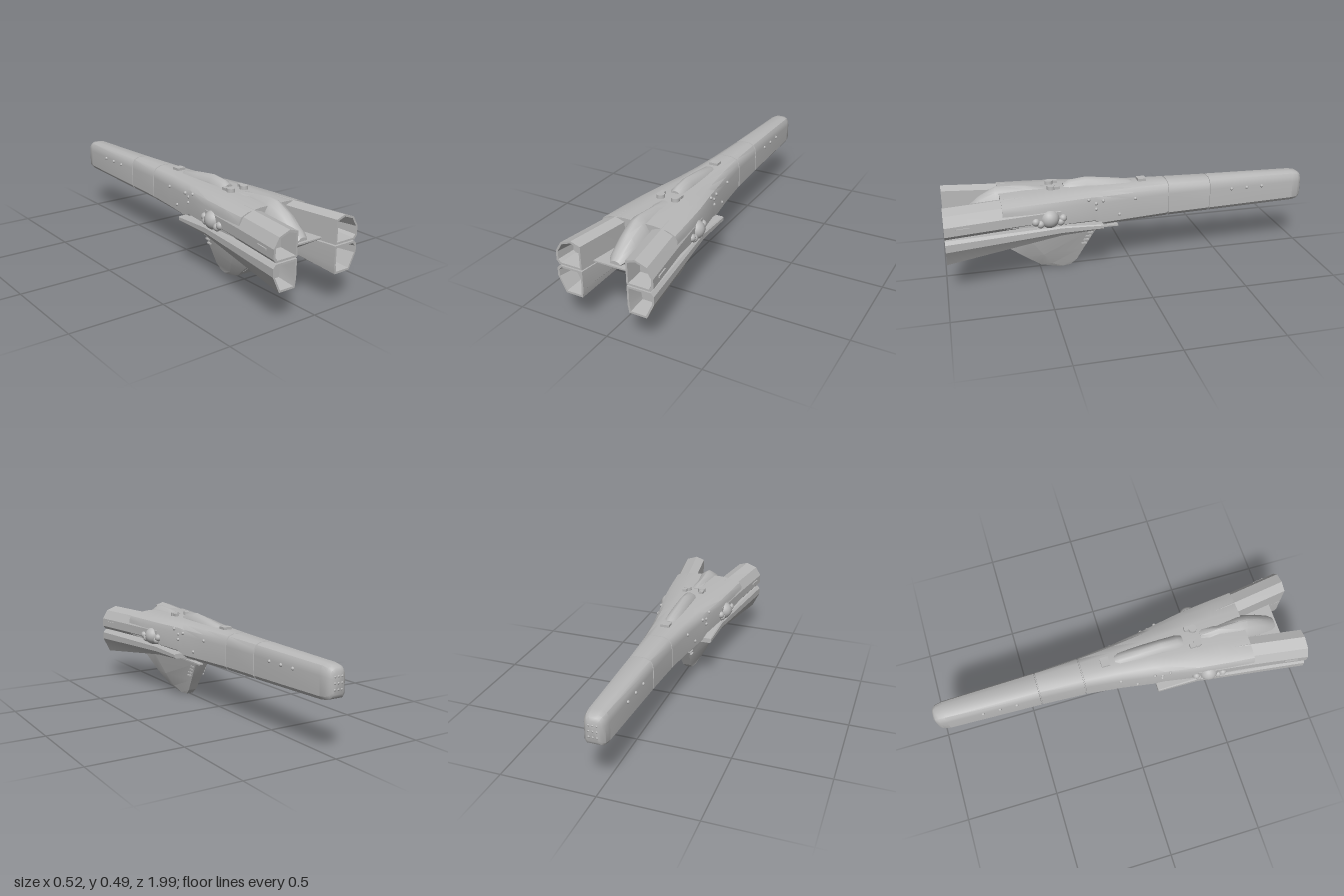
import * as THREE from 'three';
import { toCreasedNormals } from 'three/addons/utils/BufferGeometryUtils.js';

// Skin a list of closed rings of [x, y, z] points; both ends are capped.
function loft(rings, crease = 0.5) {
  const pos = [], idx = [], n = rings[0].length;
  rings.forEach(r => r.forEach(p => pos.push(...p)));
  for (let k = 0; k < rings.length - 1; k++) {
    for (let i = 0; i < n; i++) {
      const a = k * n + i, b = k * n + (i + 1) % n;
      idx.push(a, b, b + n, a, b + n, a + n);
    }
  }
  [0, rings.length - 1].forEach((k, end) => {
    const c = pos.length / 3;
    pos.push(...[0, 1, 2].map(j => rings[k].reduce((s, p) => s + p[j], 0) / n));
    for (let i = 0; i < n; i++) {
      const a = k * n + i, b = k * n + (i + 1) % n;
      if (end) idx.push(c, a, b); else idx.push(c, b, a);
    }
  });
  const g = new THREE.BufferGeometry();
  g.setAttribute('position', new THREE.Float32BufferAttribute(pos, 3));
  g.setIndex(idx);
  return toCreasedNormals(g, crease);
}

// Complete a right-hand half outline (bottom to top) into a mirrored ring.
const mirrorRing = (half, z) => [
  ...half.map(([x, y]) => [x, y, z]),
  ...half.slice().reverse().map(([x, y]) => [-x, y, z]),
];
const flip = ring => ring.map(([x, y, z]) => [-x, y, z]).reverse();

export function createModel() {
  const ship = new THREE.Group();
  ship.name = 'spaceship';
  const grey = new THREE.MeshStandardMaterial({ color: 0xb8b8b8 });
  grey.name = 'hull grey';

  const add = (name, geo, x = 0, y = 0, z = 0) => {
    const m = new THREE.Mesh(geo, grey);
    m.name = name;
    m.position.set(x, y, z);
    ship.add(m);
    return m;
  };
  const box = (name, w, h, d, x, y, z) => add(name, new THREE.BoxGeometry(w, h, d), x, y, z);
  const ball = (name, r, x, y, z) => add(name, new THREE.SphereGeometry(r, 20, 14), x, y, z);

  // Main hull: [z, half width, top, bottom]
  const hullRing = ([z, w, t, b]) => {
    const h = t - b;
    return mirrorRing([
      [w * 0.8, b], [w, b + h * 0.1], [w, t - h * 0.34], [w * 0.94, t - h * 0.18],
      [w * 0.76, t - h * 0.07], [w * 0.4, t - h * 0.01],
    ], z);
  };
  const groove = (z, w, t, b) => [
    [z - 0.004, w, t, b], [z - 0.003, w - 0.004, t - 0.004, b + 0.004],
    [z + 0.003, w - 0.004, t - 0.004, b + 0.004], [z + 0.004, w, t, b],
  ];
  add('hull', loft([
    [-1, 0.03, 0.405, 0.3], [-0.992, 0.042, 0.42, 0.285], [-0.975, 0.052, 0.43, 0.275],
    [-0.94, 0.058, 0.436, 0.27],
    ...groove(-0.44, 0.071, 0.445, 0.26), ...groove(-0.2, 0.083, 0.45, 0.258),
    [0, 0.105, 0.452, 0.256], [0.17, 0.133, 0.455, 0.258], [0.22, 0.142, 0.456, 0.28],
    [0.4, 0.176, 0.458, 0.29], [0.55, 0.195, 0.458, 0.3], [0.7, 0.211, 0.457, 0.31],
  ].map(hullRing), 0.6));

  // Belly and rear deck: [z, half width, top, edge bottom, centre bottom]
  add('belly', loft([
    [-0.1, 0.07, 0.3, 0.268, 0.266], [0.15, 0.1, 0.31, 0.25, 0.245],
    [0.4, 0.11, 0.32, 0.232, 0.226], [0.72, 0.112, 0.332, 0.212, 0.201],
    [0.915, 0.112, 0.332, 0.326, 0.324],
  ].map(([z, w, t, e, c]) => mirrorRing([[0.001, c], [w, e], [w, t]], z))));

  // Ventral fin: [y, rear z, front z, rear half width, front half width]
  add('ventralFin', loft([
    [0, 0.4, 0.335, 0.03, 0.02], [0.03, 0.5, 0.3, 0.046, 0.024],
    [0.1, 0.586, 0.258, 0.078, 0.03], [0.215, 0.726, 0.185, 0.112, 0.04],
    [0.25, 0.726, 0.17, 0.112, 0.05],
  ].map(([y, r, f, w, v]) => [
    [w, y, r], [w, y, r - 0.3 * (r - f)], [v, y, f], [-v, y, f], [-w, y, r - 0.3 * (r - f)], [-w, y, r],
  ]), 0.3));

  // Dorsal ridge and the tapered fairing between the engines: [z, half width, top, bottom]
  const ridgeRing = ([z, w, t, b]) => {
    const h = t - b;
    return mirrorRing([[w * 0.75, b], [w, b + h * 0.42], [w * 0.85, b + h * 0.62],
      [w * 0.5, b + h * 0.88], [w * 0.06, t]], z);
  };
  add('dorsalRidge', loft([
    [-0.015, 0.022, 0.453, 0.44], [0.01, 0.034, 0.464, 0.43], [0.12, 0.04, 0.48, 0.42],
    [0.24, 0.042, 0.494, 0.41], [0.33, 0.042, 0.484, 0.42], [0.36, 0.034, 0.468, 0.43],
  ].map(ridgeRing), 0.7));
  add('rearFairing', loft([
    [0.46, 0.068, 0.46, 0.4], [0.56, 0.045, 0.474, 0.36], [0.68, 0.07, 0.483, 0.33],
    [0.72, 0.07, 0.478, 0.325], [0.8, 0.058, 0.436, 0.325], [0.87, 0.046, 0.378, 0.325],
    [0.9, 0.028, 0.35, 0.325],
  ].map(ridgeRing), 0.6));
  box('dorsalHatch', 0.05, 0.018, 0.045, 0, 0.454, -0.068);

  // Rear outlines of the engines
  const upper = [[0.12, 0.314], [0.245, 0.314], [0.26, 0.332], [0.26, 0.38],
    [0.23, 0.43], [0.17, 0.452], [0.12, 0.436]];
  const lower = [[0.12, 0.21], [0.127, 0.167], [0.22, 0.167], [0.26, 0.25],
    [0.26, 0.29], [0.245, 0.307], [0.12, 0.307]];
  const lowerMid = [[0.06, 0.25], [0.065, 0.242], [0.168, 0.242], [0.182, 0.262],
    [0.182, 0.288], [0.175, 0.296], [0.06, 0.296]];
  const lowerFront = [[0.05, 0.262], [0.055, 0.258], [0.17, 0.258], [0.18, 0.264],
    [0.18, 0.28], [0.176, 0.285], [0.05, 0.285]];
  const ringAt = (pts, z) => pts.map(([x, y]) => [x, y, z]);
  const shift = (pts, dx) => pts.map(([x, y]) => [x - dx, y]);
  const shrink = (pts, s, cx, cy) => pts.map(([x, y]) => [cx + (x - cx) * s, cy + (y - cy) * s]);
  const nozzle = (pts, cx, cy) => [
    ringAt(pts, 0.99), ringAt(shrink(pts, 0.85, cx, cy), 0.99),
    ringAt(shrink(shift(pts, 0.006), 0.68, cx - 0.004, cy), 0.9),
  ];
  const upperRings = [ringAt(shift(upper, 0.082), 0.4), ringAt(shift(upper, 0.043), 0.7),
    ...nozzle(upper, 0.184, 0.378)];
  const lowerRings = [ringAt(lowerFront, 0.18), ringAt(lowerMid, 0.4), ...nozzle(lower, 0.186, 0.24)];

  for (const s of [1, -1]) {
    const side = s > 0 ? 'left' : 'right';
    const sided = rings => (s > 0 ? rings : rings.map(flip));
    add(side + 'UpperEngine', loft(sided(upperRings), 0.35));
    add(side + 'LowerEngine', loft(sided(lowerRings), 0.35));
    box(side + 'EngineVent', 0.006, 0.01, 0.07, s * 0.25, 0.362, 0.9).rotation.y = s * 0.15;

    // Ball cluster on the flank
    ball(side + 'SensorBall', 0.05, s * 0.168, 0.345, 0.46);
    [[0.535, 0.34, 0.19], [0.51, 0.325, 0.188], [0.392, 0.343, 0.172], [0.405, 0.325, 0.175]]
      .forEach(([z, y, x]) => ball(side + 'SmallBall', 0.021, s * x, y, z));

    // Portholes along the nose and flank: [z, y, x]
    [[-0.57, 0.375, 0.067], [-0.66, 0.375, 0.065], [-0.75, 0.375, 0.063], [-0.01, 0.385, 0.103],
      [0.08, 0.31, 0.117], [0.17, 0.4, 0.131], [0.21, 0.36, 0.14], [0.21, 0.39, 0.138],
      [0.25, 0.415, 0.143]].forEach(([z, y, x]) => ball(side + 'Porthole', 0.009, s * x, y, z));
    const rail = box(side + 'SideRail', 0.008, 0.012, 0.16, s * 0.155, 0.278, 0.28);
    rail.rotation.y = s * 0.18;

    // Dorsal turrets, chin blades and fin panels
    add(side + 'Turret', new THREE.CylinderGeometry(0.021, 0.023, 0.05, 20), s * 0.042, 0.45, 0.43);
    box(side + 'TurretBlock', 0.024, 0.014, 0.03, s * 0.05, 0.466, 0.4);
    box(side + 'ChinBlade', 0.03, 0.008, 0.2, s * 0.07, 0.233, 0.18);
    const panel = box(side + 'FinRearPanel', 0.026, 0.172, 0.006, s * 0.052, 0.127, 0.619);
    panel.rotation.set(0.885, 0, -s * 0.14);
    for (let i = 0; i < 4; i++) {
      box(side + 'FinNotch', 0.012, 0.007, 0.03, s * 0.042, 0.13 + i * 0.02, 0.262 - i * 0.012);
    }
  }

  // Ports on the blunt nose
  for (let r = 0; r < 3; r++) {
    for (let c = -1; c <= 1; c++) ball('nosePort', 0.007, c * 0.02, 0.322 + r * 0.03, -0.996);
  }
  return ship;
}
